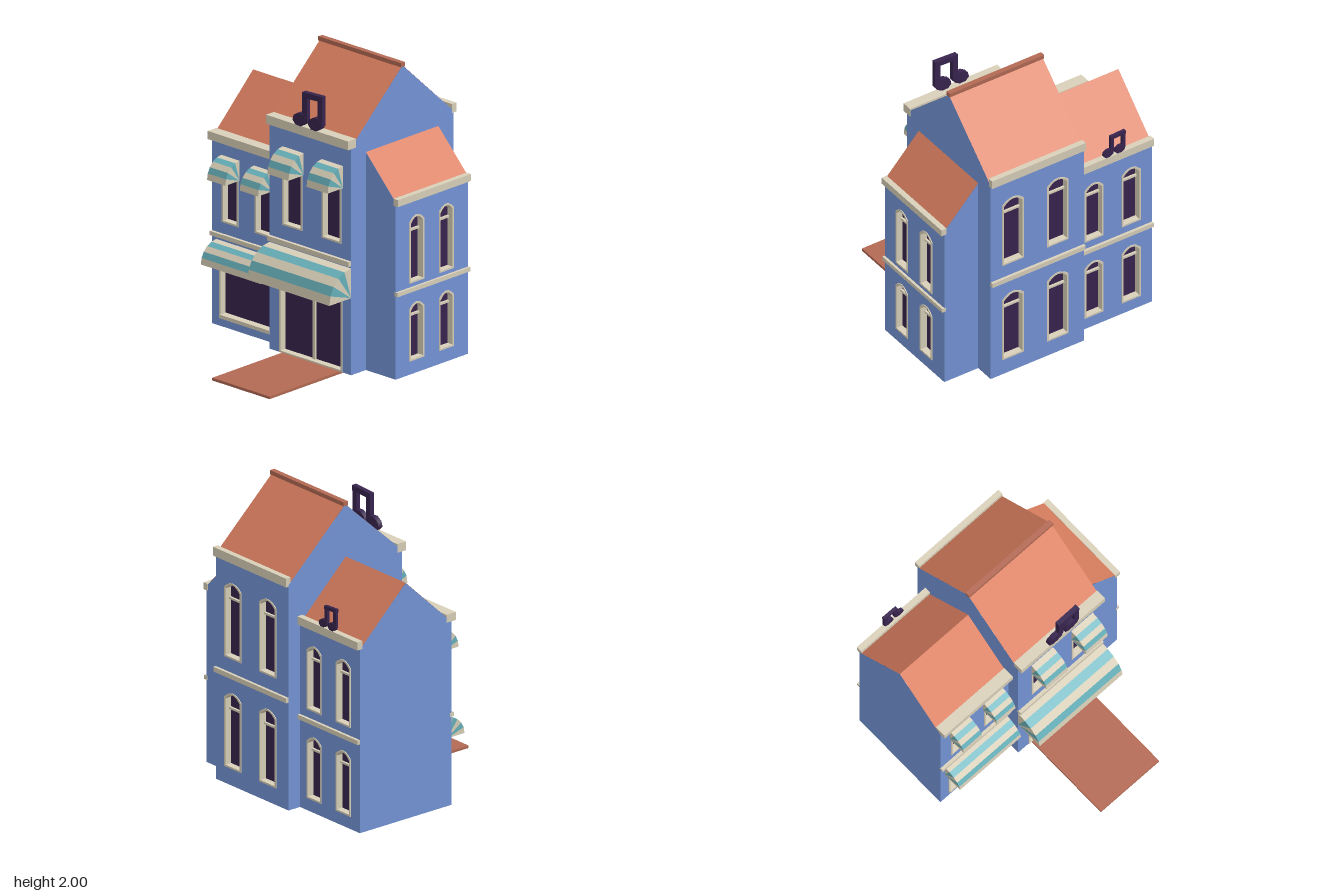
import * as THREE from 'three';

const paint = (name, color, side = THREE.FrontSide) => {
  const m = new THREE.MeshStandardMaterial({ color, side });
  m.name = name;
  return m;
};
const wallBlue = paint('wall blue', 0x7595d8, THREE.DoubleSide);
const roofRed = paint('roof terracotta', 0xdb7f60, THREE.DoubleSide);
const carpetRed = paint('carpet red', 0xb36a54);
const trim = paint('cream trim', 0xd9d0b9, THREE.DoubleSide);
const teal = paint('awning teal', 0x68b2bc, THREE.DoubleSide);
const glass = paint('dark purple', 0x38244e, THREE.DoubleSide);

function add(parent, name, geometry, material) {
  const m = new THREE.Mesh(geometry, material);
  m.name = name;
  parent.add(m);
  return m;
}

// box given by its minimum and maximum corners
function block(parent, name, material, [x0, y0, z0], [x1, y1, z1]) {
  const m = add(parent, name, new THREE.BoxGeometry(x1 - x0, y1 - y0, z1 - z0), material);
  m.position.set((x0 + x1) / 2, (y0 + y1) / 2, (z0 + z1) / 2);
  return m;
}

const polygon = (pts) => new THREE.Shape(pts.map(([x, y]) => new THREE.Vector2(x, y)));

// opening outline, inset by t, with a shallow arched head of height rise
function outline({ cx, y0, w, h, rise = 0 }, t) {
  const hw = w / 2 - t, top = y0 + h - t, pts = [[cx - hw, y0 + t], [cx + hw, y0 + t]];
  const n = rise ? 6 : 1;
  for (let i = 0; i <= n; i++) {
    const u = 1 - (2 * i) / n;
    pts.push([cx + hw * u, top - rise * u * u]);
  }
  return pts;
}

// recessed frame, pane and bars
function windowUnit(parent, o) {
  const g = new THREE.Group();
  g.name = o.name || 'window';
  const ring = polygon(outline(o, 0));
  ring.holes.push(polygon(outline(o, 0.012)));
  const frame = new THREE.ExtrudeGeometry(ring, { depth: 0.055, bevelEnabled: false });
  add(g, 'windowFrame', frame.translate(0, 0, -0.05), trim);
  add(g, 'windowPane', new THREE.ShapeGeometry(polygon(outline(o, 0.006))).translate(0, 0, -0.042), glass);
  const hw = o.w / 2 - 0.006;
  block(g, 'transom', trim, [o.cx - hw, o.bar - 0.007, -0.046], [o.cx + hw, o.bar + 0.007, -0.026]);
  if (o.mullion) block(g, 'mullion', trim, [o.cx - 0.009, o.y0, -0.046], [o.cx + 0.009, o.y0 + o.h, -0.026]);
  if (o.sill) block(g, 'sill', trim, [o.cx - hw, o.y0, -0.06], [o.cx + hw, o.y0 + 0.025, 0.012]);
  parent.add(g);
}

// one wall, facing +z before it is turned and placed
function facade(parent, name, pts, openings, [x, z], turn) {
  const g = new THREE.Group();
  g.name = name;
  g.position.set(x, 0, z);
  g.rotation.y = turn;
  const shape = polygon(pts);
  openings.forEach((o) => shape.holes.push(polygon(outline(o, 0))));
  add(g, name + 'Wall', new THREE.ShapeGeometry(shape), wallBlue);
  openings.forEach((o) => windowUnit(g, o));
  parent.add(g);
  return g;
}

// quarter-round awning in five alternating stripes with fan-shaped ends
function awning(parent, cx, y0, w, r, h) {
  const g = new THREE.Group(), n = 5, pos = [[], []];
  g.name = 'awning';
  const L = cx - w / 2, R = cx + w / 2;
  const at = (x, k) => {
    const t = (k / n) * Math.PI / 2;
    return [x, y0 + h * Math.sin(t), r * Math.cos(t)];
  };
  for (let k = 0; k < n; k++) {
    const a = at(L, k), b = at(R, k), c = at(R, k + 1), d = at(L, k + 1);
    pos[k % 2].push(...a, ...b, ...c, ...a, ...c, ...d, R, y0, 0, ...c, ...b, L, y0, 0, ...a, ...d);
  }
  pos.forEach((p, i) => {
    const geo = new THREE.BufferGeometry();
    geo.setAttribute('position', new THREE.Float32BufferAttribute(p, 3));
    geo.computeVertexNormals();
    add(g, i ? 'tealStripes' : 'creamStripes', geo, i ? teal : trim);
  });
  parent.add(g);
}

// sloping roof sheet from four corners
function slope(parent, name, a, b, c, d) {
  const geo = new THREE.BufferGeometry();
  geo.setAttribute('position', new THREE.Float32BufferAttribute([...a, ...b, ...c, ...a, ...c, ...d], 3));
  geo.computeVertexNormals();
  add(parent, name, geo, roofRed);
}

function gableRoof(parent, name, x0, x1, front, back, eave, ridge) {
  const m = (front + back) / 2;
  slope(parent, name + 'Front', [x0, eave, front], [x1, eave, front], [x1, ridge, m], [x0, ridge, m]);
  slope(parent, name + 'Back', [x1, eave, back], [x0, eave, back], [x0, ridge, m], [x1, ridge, m]);
}

// paired-note rooftop ornament, standing on its own origin
function noteOrnament(parent, x, y, z, scale, turn) {
  const g = new THREE.Group();
  g.name = 'noteOrnament';
  for (const cx of [-0.07, 0.065]) {
    const head = add(g, 'noteHead', new THREE.CylinderGeometry(0.5, 0.5, 0.034, 8).rotateX(Math.PI / 2), glass);
    head.scale.set(0.122, 0.09, 1);
    head.rotation.z = 0.25;
    head.position.set(cx, 0.045, 0);
    block(g, 'noteStem', glass, [cx + 0.024, 0.045, -0.015], [cx + 0.064, 0.235, 0.015]);
  }
  const beam = polygon([[-0.046, 0.2], [0.129, 0.208], [0.129, 0.245], [-0.046, 0.237]]);
  add(g, 'noteBeam', new THREE.ExtrudeGeometry(beam, { depth: 0.034, bevelEnabled: false }).translate(0, 0, -0.017), glass);
  g.position.set(x, y, z);
  g.scale.setScalar(scale);
  g.rotation.y = turn;
  parent.add(g);
}

const rect = (x0, x1, y1) => [[x0, 0.015], [x1, 0.015], [x1, y1], [x0, y1]];
const gable = (x0, x1, eave, ridge) => [[x0, 0.015], [x1, 0.015], [x1, eave], [(x0 + x1) / 2, ridge], [x0, eave]];
const arched = (cx, y0, w, h) => ({ cx, y0, w, h, rise: 0.04, bar: y0 + h * 0.76 });

export function createModel() {
  const model = new THREE.Group();
  model.name = 'townhouse';
  const house = new THREE.Group();
  house.name = 'house';
  house.rotation.y = -Math.PI / 6;
  model.add(house);
  const PI = Math.PI;

  // main block
  const mL = -0.285, mR = 0.43, mF = 0.265, mB = -0.675, bays = [-0.083, 0.26];
  const door = { name: 'entrance', cx: 0.0775, y0: 0.016, w: 0.55, h: 0.535, bar: 0.495, mullion: true };
  const front = facade(house, 'mainFront', rect(mL, mR, 1.55),
    [door, ...bays.map((c) => arched(c, 0.88, 0.172, 0.515))], [0, mF], 0);
  awning(front, (mL + mR) / 2, 0.535, mR - mL, 0.2, 0.2);
  bays.forEach((c) => awning(front, c + 0.005, 1.258, 0.185, 0.14, 0.15));
  facade(house, 'mainBack', rect(-mR, -mL, 1.55),
    bays.flatMap((c) => [arched(-c, 0.13, 0.165, 0.515), arched(-c, 0.878, 0.165, 0.517)]), [0, mB], PI);
  facade(house, 'mainLeftSide', gable(-mF, -mB, 1.55, 1.98), [], [mR, 0], PI / 2);
  facade(house, 'mainRightSide', gable(mB, mF, 1.55, 1.98), [], [mL, 0], -PI / 2);
  gableRoof(house, 'mainRoof', mL, mR, mF, mB, 1.55, 1.982);
  block(house, 'ridgeCap', carpetRed, [mL - 0.005, 1.972, -0.223], [mR + 0.005, 2, -0.187]);
  block(house, 'mainFrontCornice', trim, [mL, 1.54, 0.225], [mR + 0.003, 1.6, 0.297]);
  block(house, 'mainBackCornice', trim, [mL, 1.54, -0.697], [mR + 0.003, 1.6, -0.658]);
  block(house, 'mainFrontBand', trim, [mL, 0.75, 0.255], [mR, 0.783, 0.288]);
  block(house, 'mainBackBand', trim, [mL, 0.75, -0.695], [mR, 0.783, -0.665]);

  // lower wing
  const wL = -0.874, wF = 0.176, wB = -0.58, wBays = [-0.712, -0.426];
  const shop = { name: 'shopWindow', cx: -0.58, y0: 0.07, w: 0.45, h: 0.4, bar: 0.405, sill: true };
  const wing = facade(house, 'wingFront', rect(wL, mL, 1.27),
    [shop, ...wBays.map((c) => arched(c, 0.72, 0.142, 0.435))], [0, wF], 0);
  awning(wing, -0.573, 0.457, 0.525, 0.142, 0.135);
  wBays.forEach((c) => awning(wing, c, 1.035, 0.16, 0.13, 0.135));
  facade(house, 'wingBack', rect(-mL, -wL, 1.27),
    wBays.flatMap((c) => [arched(-c, 0.1, 0.145, 0.43), arched(-c, 0.705, 0.145, 0.445)]), [0, wB], PI);
  facade(house, 'wingSide', gable(wB, wF, 1.265, 1.623), [], [wL, 0], -PI / 2);
  gableRoof(house, 'wingRoof', wL, mL, wF, wB, 1.265, 1.625);
  block(house, 'wingFrontCornice', trim, [wL, 1.265, 0.135], [mL, 1.32, 0.214]);
  block(house, 'wingBackCornice', trim, [wL, 1.265, -0.602], [mL, 1.32, -0.56]);
  block(house, 'wingFrontBand', trim, [wL, 0.615, 0.166], [mL, 0.643, 0.198]);
  block(house, 'wingBackBand', trim, [wL, 0.62, -0.6], [mL, 0.65, -0.57]);

  // lean-to extension
  const eR = 0.69, eF = 0.13, eB = -0.535;
  facade(house, 'extensionSide', rect(-eF, -eB, 1.215),
    [-0.061, -0.333].flatMap((b) => [arched(-b, 0.105, 0.135, 0.39), arched(-b, 0.63, 0.135, 0.452)]), [eR, 0], PI / 2);
  facade(house, 'extensionFront', [[mR, 0.015], [eR, 0.015], [eR, 1.21], [mR, 1.482]], [], [0, eF], 0);
  facade(house, 'extensionBack', [[-eR, 0.015], [-mR, 0.015], [-mR, 1.482], [-eR, 1.21]], [], [0, eB], PI);
  slope(house, 'extensionRoof', [eR, 1.212, eF], [eR, 1.212, eB], [mR, 1.485, eB], [mR, 1.485, eF]);
  block(house, 'extensionCornice', trim, [0.675, 1.185, eB - 0.003], [0.714, 1.232, eF + 0.003]);
  block(house, 'extensionBand', trim, [0.68, 0.575, eB - 0.002], [0.708, 0.603, eF + 0.002]);

  // rooftop ornaments and entrance carpet
  noteOrnament(house, 0.08, 1.598, 0.284, 1, 0);
  noteOrnament(house, -0.575, 1.318, -0.588, 0.65, PI);
  block(house, 'carpet', carpetRed, [-0.17, 0, 0.23], [0.332, 0.018, 0.911]);
  return model;
}
